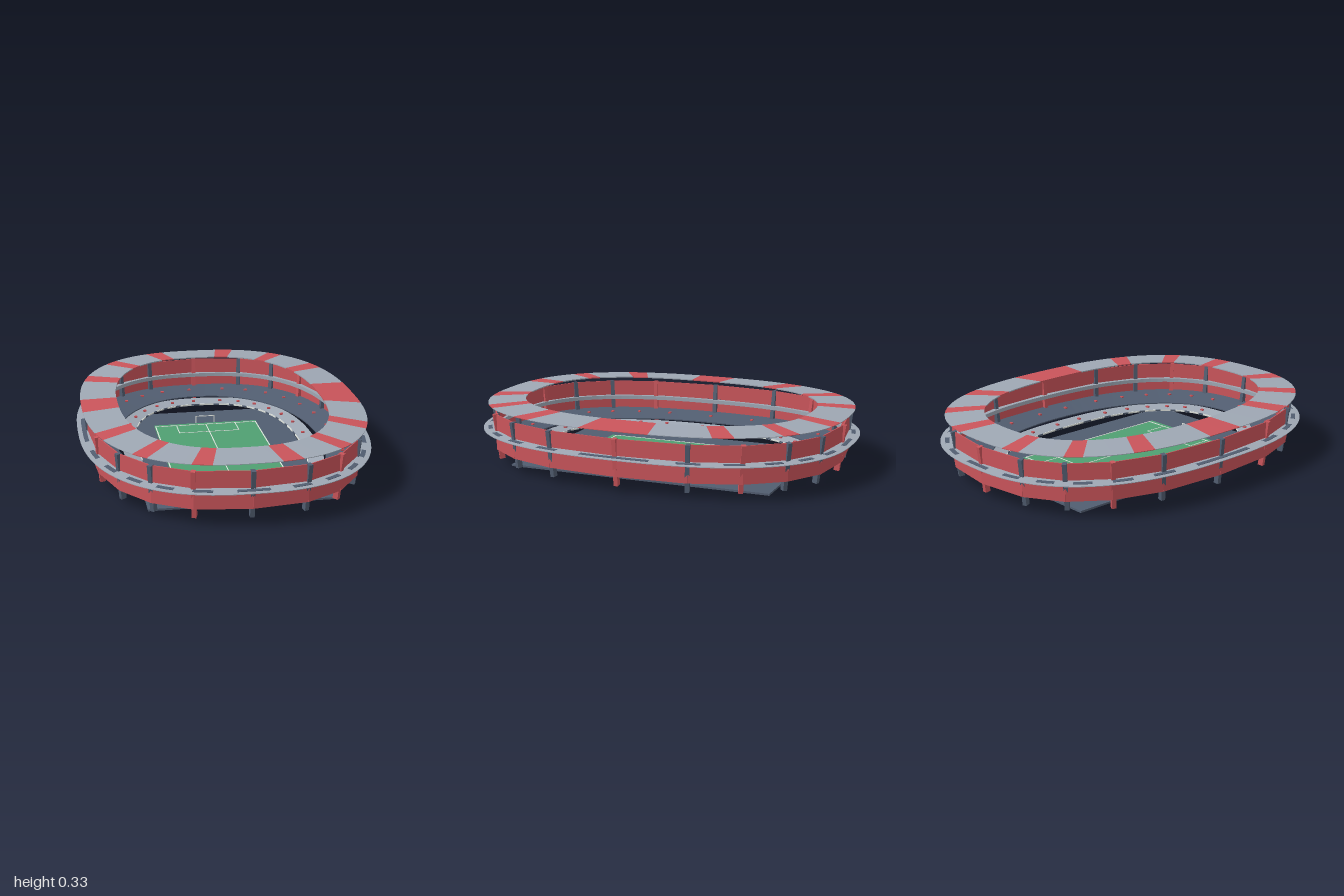
import * as THREE from 'three';

const mat = (name, color) => {
  const m = new THREE.MeshStandardMaterial({ color, side: THREE.DoubleSide });
  m.name = name;
  return m;
};

const N = 100; // segments around every oval

// Point on a superellipse with half sizes a (x) and b (z)
function oval(t, a, b, y, n = 2.5) {
  const p = (v) => Math.sign(v) * Math.pow(Math.abs(v) < 1e-9 ? 0 : Math.abs(v), 2 / n);
  return new THREE.Vector3(a * p(Math.cos(t)), y, b * p(Math.sin(t)));
}

const angle = (k) => Math.PI + (k * 2 * Math.PI) / N;
const fromSide = (k) => Math.min(k, N - 1 - k); // mirrored segment number

// Sweeps a closed cross-section [a, b, y, n] around the oval, on chosen segments
function ringGeometry(profile, pick = () => true) {
  const pos = [];
  for (let k = 0; k < N; k++) {
    if (!pick(k)) continue;
    for (let j = 0; j < profile.length; j++) {
      const q = profile[(j + 1) % profile.length];
      const p00 = oval(angle(k), ...profile[j]);
      const p10 = oval(angle(k + 1), ...profile[j]);
      const p01 = oval(angle(k), ...q);
      const p11 = oval(angle(k + 1), ...q);
      for (const v of [p00, p10, p01, p10, p11, p01]) pos.push(v.x, v.y, v.z);
    }
  }
  const g = new THREE.BufferGeometry();
  g.setAttribute('position', new THREE.Float32BufferAttribute(pos, 3));
  g.computeVertexNormals();
  return g;
}

export function createModel() {
  const red = mat('red', 0xc9545a);
  const grey = mat('light grey', 0x9ea7b3);
  const slate = mat('slate', 0x515d70);
  const green = mat('grass green', 0x4f9f72);
  const white = mat('line white', 0xdfe3dd);

  const model = new THREE.Group();
  model.name = 'stadium';
  const add = (name, geo, material, parent = model) => {
    const m = new THREE.Mesh(geo, material);
    m.name = name;
    parent.add(m);
    return m;
  };
  const box = (name, w, h, d, x, y, z, material, parent) => {
    const m = add(name, new THREE.BoxGeometry(w, h, d), material, parent);
    m.position.set(x, y, z);
    return m;
  };
  const group = (name) => {
    const g = new THREE.Group();
    g.name = name;
    model.add(g);
    return g;
  };

  // Ground plate and pitch
  box('groundPlate', 0.93, 0.01, 1.42, 0, 0.005, 0, slate);
  box('pitch', 0.59, 0.008, 0.96, 0, 0.014, 0, green);

  // Pitch markings
  const lines = group('pitchLines');
  const line = (w, d, x, z) => box('line', w, 0.002, d, x, 0.0185, z, white, lines);
  line(0.005, 0.91, 0, 0);
  for (const s of [-1, 1]) {
    line(0.006, 0.91, s * 0.29, 0);
    line(0.586, 0.006, 0, s * 0.453);
    line(0.345, 0.005, 0, s * 0.326);
    for (const x of [-0.17, 0.17]) line(0.005, 0.128, x, s * 0.39);
  }

  // Goals
  const goals = group('goals');
  for (const s of [-1, 1]) {
    for (const x of [-0.052, 0.052]) {
      box('goalPost', 0.004, 0.04, 0.004, x, 0.038, s * 0.485, white, goals);
    }
    box('crossbar', 0.108, 0.004, 0.004, 0, 0.058, s * 0.485, white, goals);
  }

  // Lower and upper seating tiers
  add('lowerTier', ringGeometry([
    [0.44, 0.69, 0.06], [0.522, 0.772, 0.076], [0.522, 0.772, 0.071], [0.44, 0.69, 0.055],
  ]), grey);
  add('upperTier', ringGeometry([
    [0.546, 0.786, 0.083, 2.15], [0.69, 0.93, 0.112], [0.69, 0.93, 0.107], [0.546, 0.786, 0.077, 2.15],
  ]), slate);

  // Railing dashes on the inner edge of the lower tier
  const rail = (r) => [
    [r, r + 0.25, 0.065], [r + 0.004, r + 0.254, 0.065],
    [r + 0.004, r + 0.254, 0.057], [r, r + 0.25, 0.057],
  ];
  add('paleRailing', ringGeometry(rail(0.437), (k) => k % 3 !== 0), white);
  add('darkRailing', ringGeometry(rail(0.437), (k) => k % 3 === 0), slate);

  // Small red seat blocks, mirrored from the right-hand side
  const seats = group('seatBlocks');
  for (let k = 0; k <= 14; k++) {
    for (const s of k === 0 ? [1] : [-1, 1]) {
      const t = Math.PI - s * k * THREE.MathUtils.degToRad(12.6);
      for (const [a, b, y] of [[0.482, 0.732, 0.072], [0.62, 0.86, 0.102]]) {
        const p = oval(t, a, b, y);
        box('seatBlock', 0.018, 0.008, 0.014, p.x, p.y, p.z, red, seats);
      }
    }
  }

  // Outer wall: two bands of flat panels between leaning columns
  const wall = group('outerWall');
  const columns = group('columns');
  const COUNT = 20;
  const at = (i, y, f = 1) => oval((i * 2 * Math.PI) / COUNT, 0.7 * f, 0.945 * f, y);
  for (let i = 0; i < COUNT; i++) {
    for (const [low, high] of [[0.08, 0.165], [0.186, 0.27]]) {
      const p = at(i, (low + high) / 2);
      const q = at(i + 1, (low + high) / 2);
      const mid = p.clone().add(q).multiplyScalar(0.5);
      const panel = box('wallPanel', 0.006, high - low, p.distanceTo(q), mid.x, mid.y, mid.z, red, wall);
      panel.lookAt(q);
    }
    const foot = at(i, 0.032, 0.972);
    const head = at(i, 0.272, 1.005);
    const side = at(i + 0.1, 0).sub(at(i - 0.1, 0)).normalize();
    const up = head.clone().sub(foot);
    const height = up.length();
    up.normalize();
    const out = new THREE.Vector3().crossVectors(up, side).normalize();
    const col = add('column', new THREE.BoxGeometry(0.028, height, 0.022), i % 3 === 0 ? red : slate, columns);
    col.quaternion.setFromRotationMatrix(
      new THREE.Matrix4().makeBasis(out, up, new THREE.Vector3().crossVectors(out, up)));
    col.position.copy(foot).add(head).multiplyScalar(0.5);
  }

  // Wedge-shaped concourse ring with dark dashes above and below
  add('concourse', ringGeometry([
    [0.665, 0.915, 0.186], [0.753, 1, 0.178], [0.753, 1, 0.175], [0.665, 0.915, 0.165],
  ]), grey);
  const dash = (k) => fromSide(k) % 4 < 2;
  add('concourseTopDashes', ringGeometry([
    [0.708, 0.957, 0.184], [0.73, 0.978, 0.182], [0.73, 0.978, 0.179], [0.708, 0.957, 0.18],
  ], dash), slate);
  add('concourseUnderDashes', ringGeometry([
    [0.708, 0.957, 0.172], [0.73, 0.978, 0.174], [0.73, 0.978, 0.17], [0.708, 0.957, 0.168],
  ], dash), slate);

  // Roof ring with red sectors
  const roof = [
    [0.54, 0.782, 0.326], [0.73, 0.972, 0.315], [0.73, 0.972, 0.312], [0.54, 0.782, 0.32],
  ];
  const isRed = (k) => fromSide(k) % 7 === 0 || fromSide(k) % 7 === 6;
  add('roof', ringGeometry(roof, (k) => !isRed(k)), grey);
  add('roofRedSectors', ringGeometry(roof, isRed), red);

  return model;
}
